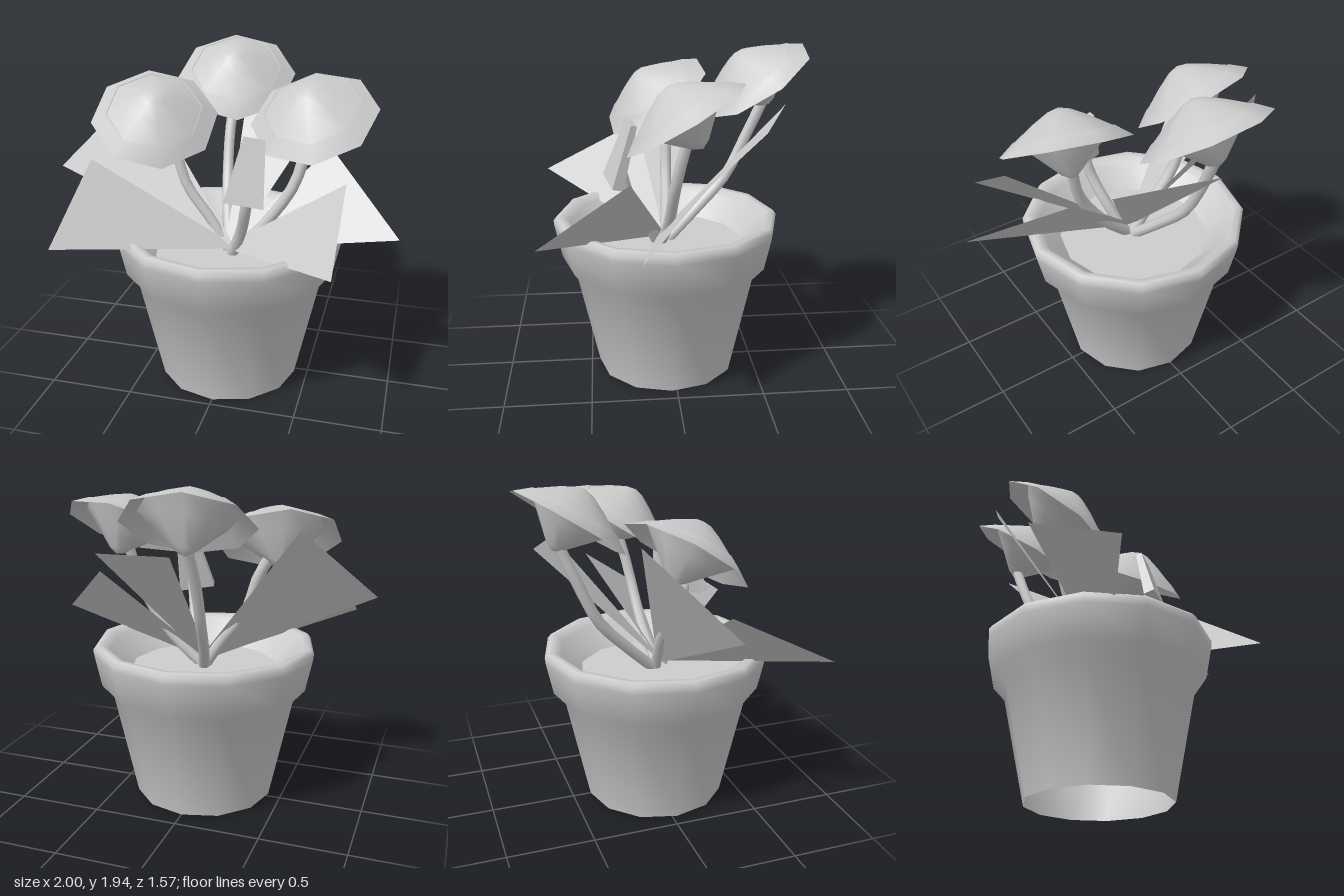
import * as THREE from 'three';
import { toCreasedNormals } from 'three/addons/utils/BufferGeometryUtils.js';

const V = (a) => new THREE.Vector3(...a);
const UP = new THREE.Vector3(0, 1, 0);

export function createModel() {
  const group = new THREE.Group();
  const clay = new THREE.MeshStandardMaterial({ color: 0xcccccc, side: THREE.DoubleSide });
  clay.name = 'pale grey';

  const add = (name, geometry) => {
    const mesh = new THREE.Mesh(geometry, clay);
    mesh.name = name;
    group.add(mesh);
    return mesh;
  };
  const lathe = (profile, sides, crease) =>
    toCreasedNormals(new THREE.LatheGeometry(profile.map((p) => new THREE.Vector2(...p)), sides), crease);

  // Twelve-sided pot, open below, with a flared collar, rounded lip and sloping inner wall
  add('pot', lathe([
    [0.42, 0], [0.555, 0.63], [0.625, 0.71], [0.665, 0.9], [0.67, 0.94],
    [0.65, 0.965], [0.61, 0.962], [0.575, 0.93], [0.45, 0.8],
  ], 12, 1.2)).position.z = 0.03;

  // Soil disc
  const soil = add('soil', new THREE.CircleGeometry(0.455, 12));
  soil.rotation.x = -Math.PI / 2;
  soil.rotation.z = Math.PI / 2;
  soil.position.set(0, 0.8, 0.03);

  // Eight-sided blossoms: a domed face, and beneath it an undercut rim around a pointed cup
  const faceGeometry = lathe([[0.365, 0], [0.27, 0.066], [0.15, 0.142], [0.06, 0.19], [0, 0.205]], 8, 0.8);
  const cupGeometry = lathe([[0, -0.17], [0.05, -0.145], [0.18, -0.02], [0.275, 0.068], [0.365, 0]], 8, 0.85);

  const blossoms = [
    { name: 'back', at: [-0.09, 1.735, -0.5], facing: [0.114, 1, 0.65], spin: 14,
      stem: [[0, 0.8, 0.02], [-0.06, 0.97, -0.16], [-0.105, 1.16, -0.34], [-0.12, 1.4, -0.46], [-0.11, 1.6, -0.55]] },
    { name: 'right', at: [-0.435, 1.59, 0.055], facing: [0.25, 1, 0.67], spin: 24,
      stem: [[0, 0.8, 0.04], [-0.11, 0.97, 0.02], [-0.265, 1.18, 0.01], [-0.33, 1.37, 0], [-0.4, 1.5, 0]] },
    { name: 'left', at: [0.47, 1.63, -0.04], facing: [-0.15, 1, 0.59], spin: 5,
      stem: [[0.03, 0.8, 0.06], [0.2, 0.97, 0.03], [0.37, 1.22, 0.01], [0.425, 1.4, -0.02], [0.45, 1.55, -0.06]] },
  ];

  const addStem = (name, points) =>
    add(name, new THREE.TubeGeometry(new THREE.CatmullRomCurve3(points.map(V)), 10, 0.033, 8));

  for (const b of blossoms) {
    for (const [part, geometry] of [['Blossom', faceGeometry], ['Cup', cupGeometry]]) {
      const mesh = add(b.name + part, geometry);
      mesh.position.set(...b.at);
      mesh.quaternion.setFromUnitVectors(UP, V(b.facing).normalize());
      mesh.rotateY(THREE.MathUtils.degToRad(b.spin));
    }
    addStem(b.name + 'Stem', b.stem);
  }

  // Drooping bud: a thin four-sided taper on a short stem
  addStem('budStem', [[0.03, 0.8, 0.09], [0.1, 0.97, 0.16], [0.15, 1.15, 0.26], [0.175, 1.3, 0.3]]);
  const budGeometry = new THREE.CylinderGeometry(0.085, 0.155, 0.37, 4).rotateY(Math.PI / 4).scale(1, 1, 0.3);
  const bud = add('bud', toCreasedNormals(budGeometry, 0.3));
  bud.position.set(0.175, 1.39, 0.29);
  bud.quaternion.setFromUnitVectors(UP, V([0.035, 0.36, -0.11]).normalize());
  bud.rotateY(0.25);

  // Flat leaves: each fans out from a narrow base to a wide straight end
  const leaves = [
    ['frontRightLeaf', [-0.8, 1.345, 0.165], [-0.8, 1.035, 0.775]],
    ['frontLeftLeaf', [0.7, 1.025, 0.755], [0.7, 1.36, 0.265]],
    ['sideRightLeaf', [-0.63, 1.7, -0.26], [-1, 1.28, 0.14]],
    ['sideLeftLeaf', [1, 1.05, 0.225], [0.55, 1.4, -0.24]],
    ['backLeaf', [0.46, 1.55, -0.47], [-0.06, 1.6, -0.685]],
  ];
  const root = V([0.01, 0.84, 0.07]);
  for (const [name, a, b] of leaves) {
    const half = V(b).sub(V(a)).setLength(0.025);
    const corners = [root.clone().sub(half), V(a), V(b), root.clone().add(half)];
    const geometry = new THREE.BufferGeometry().setFromPoints(corners);
    geometry.setIndex([0, 1, 2, 0, 2, 3]);
    geometry.computeVertexNormals();
    add(name, geometry);
  }

  return group;
}
